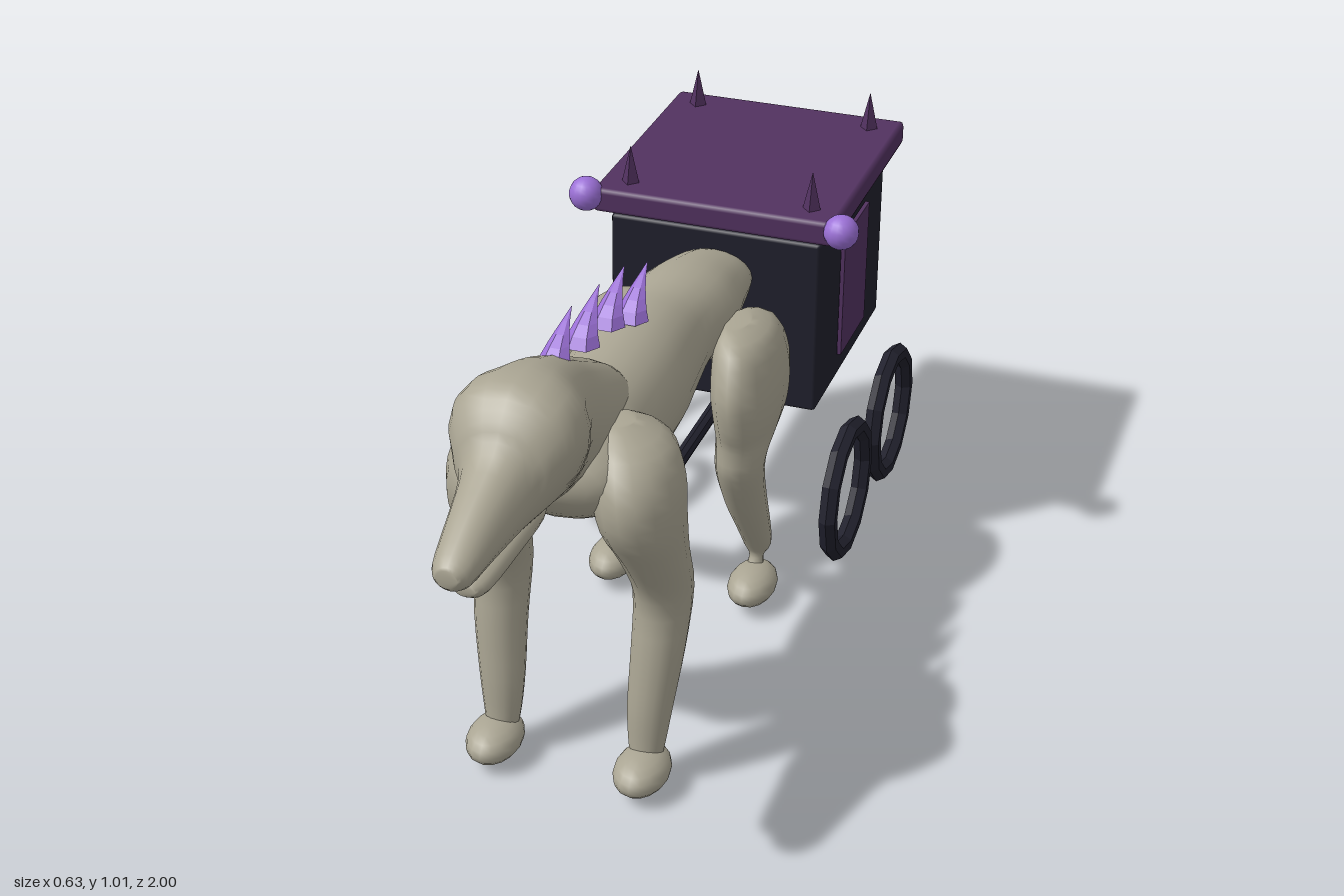
import * as THREE from 'three';
import { RoundedBoxGeometry } from 'three/addons/geometries/RoundedBoxGeometry.js';

const mat = (name, color) => {
  const m = new THREE.MeshStandardMaterial({ color });
  m.name = name;
  return m;
};

// Skin a list of closed rings, with a fan cap at each end
function loft(rings) {
  const n = rings[0].length, pos = [], idx = [];
  rings.forEach(r => r.forEach(p => pos.push(...p)));
  for (let i = 0; i < rings.length - 1; i++)
    for (let j = 0; j < n; j++) {
      const a = i * n + j, b = i * n + (j + 1) % n;
      idx.push(a, b, a + n, b, b + n, a + n);
    }
  const last = (rings.length - 1) * n;
  for (let j = 1; j < n - 1; j++) {
    idx.push(0, j + 1, j);
    idx.push(last, last + j, last + j + 1);
  }
  const g = new THREE.BufferGeometry();
  g.setAttribute('position', new THREE.Float32BufferAttribute(pos, 3));
  g.setIndex(idx);
  g.computeVertexNormals();
  return g;
}

// Insert smooth in-between sections
function smooth(sections, steps = 3) {
  const out = [], at = i => sections[Math.min(Math.max(i, 0), sections.length - 1)];
  for (let i = 0; i < sections.length - 1; i++)
    for (let s = 0; s < steps; s++) {
      const t = s / steps;
      out.push(at(i).map((b, k) => {
        const a = at(i - 1)[k], c = at(i + 1)[k], d = at(i + 2)[k];
        return b + 0.5 * t * (c - a + t * (2 * a - 5 * b + 4 * c - d + t * (3 * (b - c) + d - a)));
      }));
    }
  out.push(at(sections.length));
  return out;
}

const ring = (n, f) => Array.from({ length: n }, (_, j) => {
  const a = j / n * Math.PI * 2;
  return f(Math.cos(a), Math.sin(a));
});

// Sections along z: [z, top, bottom, halfWidth, narrowing of the underside]
const bodyLoft = s => loft(smooth(s).map(([z, top, bot, w, k]) =>
  ring(20, (c, n) => [w * c * (1 + k * n), (top + bot) / 2 + n * (top - bot) / 2, z])));

// Sections from top to bottom: [x, y, z, radiusX, radiusZ]
const limbLoft = (s, side) => loft(smooth(s).map(([x, y, z, rx, rz]) =>
  ring(16, (c, n) => [side * x + rx * c, y, z + rz * n])));

const faceted = g => {
  const f = g.index ? g.toNonIndexed() : g;
  f.computeVertexNormals();
  return f;
};

const TORSO = [
  [-0.42, 0.72, 0.66, 0.05, 0], [-0.40, 0.742, 0.635, 0.085, 0], [-0.30, 0.775, 0.61, 0.1, 0],
  [-0.2, 0.795, 0.6, 0.115, 0], [-0.08, 0.803, 0.595, 0.106, 0], [0.03, 0.82, 0.575, 0.115, 0],
  [0.14, 0.826, 0.56, 0.125, 0], [0.3, 0.82, 0.562, 0.125, 0], [0.42, 0.825, 0.582, 0.14, 0],
  [0.5, 0.81, 0.61, 0.145, 0], [0.56, 0.78, 0.655, 0.11, 0], [0.59, 0.74, 0.7, 0.03, 0],
];
const HEAD = [
  [0.25, 0.8, 0.7, 0.05, 0], [0.3, 0.835, 0.68, 0.075, 0], [0.35, 0.866, 0.68, 0.085, -0.1],
  [0.42, 0.905, 0.68, 0.09, -0.1], [0.5, 0.95, 0.68, 0.093, 0], [0.58, 0.983, 0.695, 0.1, 0.15],
  [0.65, 0.997, 0.715, 0.117, 0.3], [0.71, 0.99, 0.725, 0.113, 0.32], [0.755, 0.95, 0.73, 0.09, 0.25],
  [0.79, 0.905, 0.735, 0.068, 0.1], [0.9, 0.855, 0.745, 0.05, 0], [0.975, 0.818, 0.748, 0.038, 0],
  [1.0, 0.8, 0.765, 0.02, 0],
];
const JAW = [
  [0.66, 0.77, 0.73, 0.04, 0], [0.7, 0.775, 0.715, 0.055, 0], [0.8, 0.765, 0.705, 0.05, 0],
  [0.9, 0.742, 0.693, 0.036, 0], [0.93, 0.73, 0.705, 0.02, 0],
];
const FRONT_LEG = [
  [0.10, 0.80, 0.43, 0.025, 0.035], [0.12, 0.765, 0.44, 0.075, 0.09], [0.14, 0.70, 0.46, 0.085, 0.115],
  [0.15, 0.62, 0.46, 0.078, 0.113], [0.16, 0.53, 0.43, 0.065, 0.085], [0.165, 0.42, 0.388, 0.058, 0.067],
  [0.163, 0.3, 0.41, 0.053, 0.054], [0.155, 0.18, 0.432, 0.046, 0.043], [0.152, 0.1, 0.443, 0.038, 0.034],
  [0.152, 0.05, 0.45, 0.03, 0.03],
];
const REAR_LEG = [
  [0.13, 0.71, -0.17, 0.025, 0.05], [0.145, 0.68, -0.175, 0.06, 0.115], [0.155, 0.6, -0.175, 0.07, 0.158],
  [0.16, 0.53, -0.168, 0.067, 0.148], [0.16, 0.485, -0.15, 0.06, 0.115], [0.16, 0.45, -0.115, 0.054, 0.075],
  [0.158, 0.4, -0.108, 0.05, 0.06], [0.155, 0.3, -0.16, 0.044, 0.056], [0.155, 0.2, -0.22, 0.036, 0.046],
  [0.155, 0.13, -0.255, 0.03, 0.03], [0.155, 0.1, -0.25, 0.015, 0.015], [0.155, 0.06, -0.235, 0.025, 0.025],
];

export function createModel() {
  const model = new THREE.Group();
  const hide = mat('greyHide', 0xaaa593);
  const dark = mat('darkFrame', 0x20202c);
  const purple = mat('purplePanel', 0x523260);
  const lilac = mat('lilacGlow', 0x9b70d6);
  const add = (name, geo, material, x = 0, y = 0, z = 0) => {
    const m = new THREE.Mesh(geo, material);
    m.name = name;
    m.position.set(x, y, z);
    model.add(m);
    return m;
  };

  // Beast
  add('torso', bodyLoft(TORSO), hide);
  add('headAndNeck', bodyLoft(HEAD), hide);
  add('lowerJaw', bodyLoft(JAW), hide);
  for (const side of [1, -1]) {
    add('frontLeg', limbLoft(FRONT_LEG, side), hide);
    add('rearLeg', limbLoft(REAR_LEG, side), hide);
    add('frontFoot', new THREE.SphereGeometry(1, 16, 10), hide, side * 0.155, 0.05, 0.48).scale.set(0.055, 0.04, 0.08);
    add('rearFoot', new THREE.SphereGeometry(1, 16, 10), hide, side * 0.16, 0.053, -0.21).scale.set(0.052, 0.039, 0.08);
  }

  // Curved spines on the neck, skinned from tip to base
  const spineRings = [1, 0.8, 0.6, 0.4, 0.2, 0].map(t => ring(6, (c, n) => {
    const r = Math.max(1 - t, 0.02);
    return [0.035 * r * c, 0.08 * Math.pow(t, 0.85), -0.09 * Math.pow(t, 1.5) + 0.032 * r * n];
  }));
  for (const [y, z] of [[0.928, 0.51], [0.905, 0.37], [0.88, 0.237], [0.828, 0.108]])
    add('neckSpine', faceted(loft(spineRings)), lilac, 0, y, z);

  // Carriage
  add('cabin', new RoundedBoxGeometry(0.464, 0.396, 0.508, 1, 0.008), dark, 0, 0.589, -0.653);
  add('roof', new RoundedBoxGeometry(0.53, 0.054, 0.57, 1, 0.01), purple, 0, 0.825, -0.66);
  add('doorPanel', new THREE.BoxGeometry(0.009, 0.285, 0.19), purple, 0.238, 0.593, -0.655);
  const pole = new THREE.CylinderGeometry(0.016, 0.016, 0.55, 8).rotateX(Math.PI / 2);
  add('drawPole', faceted(pole), dark, 0, 0.345, -0.265);

  for (const side of [1, -1]) {
    add('lantern', new THREE.SphereGeometry(0.037, 16, 12), lilac, side * 0.28, 0.836, -0.38);
    for (const z of [-0.435, -0.88])
      add('roofSpike', faceted(new THREE.ConeGeometry(0.021, 0.09, 4)), purple, side * 0.2, 0.89, z);
    for (const z of [-0.475, -0.835]) {
      const wheel = new THREE.TorusGeometry(0.143, 0.021, 6, 12).rotateY(Math.PI / 2);
      add('wheel', faceted(wheel), dark, side * 0.29, 0.166, z);
    }
  }
  return model;
}
